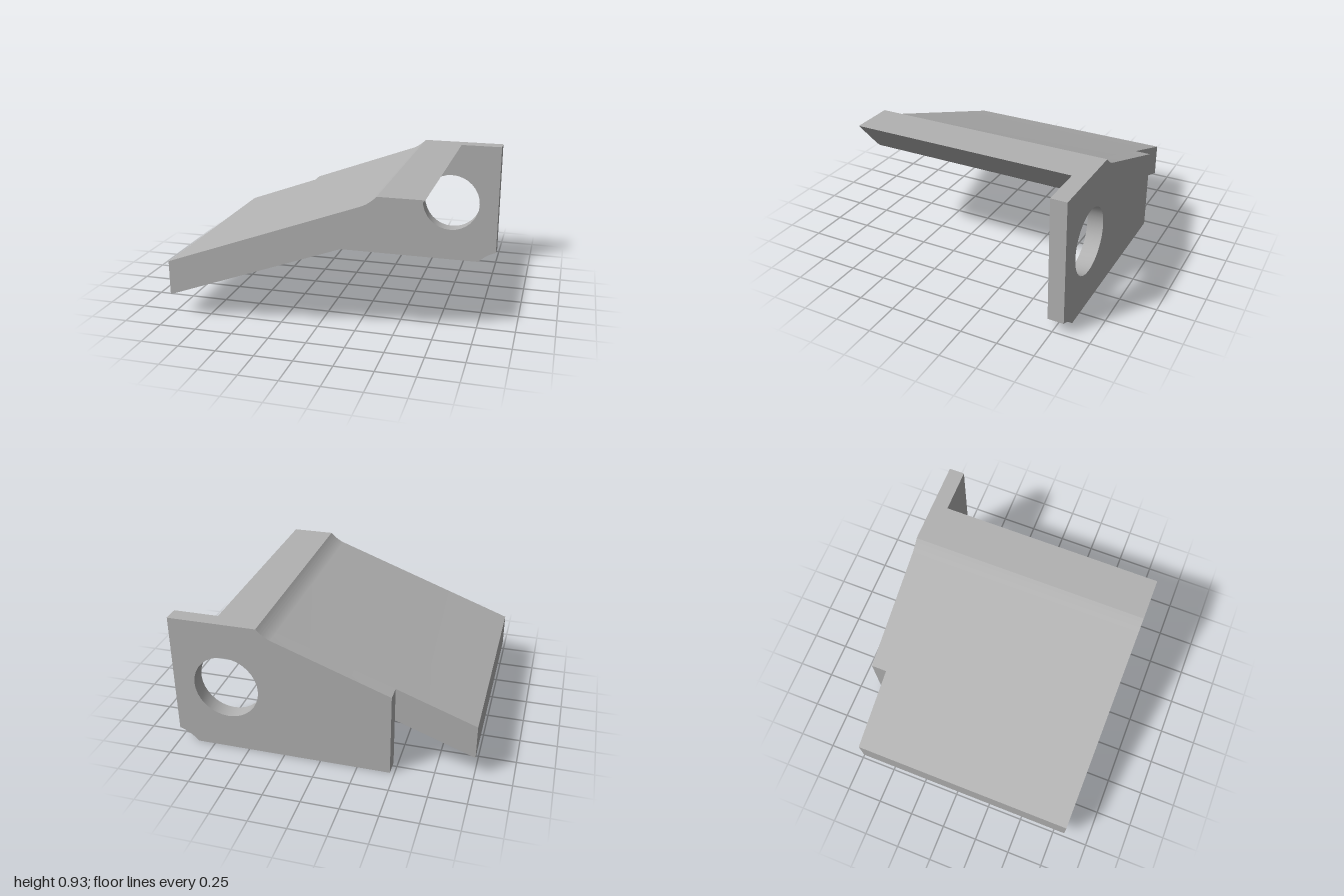
import * as THREE from 'three';
import { toCreasedNormals } from 'three/addons/utils/BufferGeometryUtils.js';

const grey = new THREE.MeshStandardMaterial({ color: 0xb2b2b2 });
grey.name = 'plain grey';

// Extrudes an x-y profile between two z positions, smoothing only the bends.
function extrudeBetween(name, shape, zBack, zFront) {
  const geometry = new THREE.ExtrudeGeometry(shape, {
    depth: zFront - zBack, bevelEnabled: false, curveSegments: 16,
  });
  geometry.translate(0, 0, zBack);
  const mesh = new THREE.Mesh(toCreasedNormals(geometry, 0.35), grey);
  mesh.name = name;
  return mesh;
}

export function createModel() {
  const group = new THREE.Group();
  group.name = 'rampBracket';
  const back = -0.826, joint = -0.718, front = 0.826;

  // Sloping slab with a steeper lip at its upper end
  const ramp = new THREE.Shape();
  ramp.moveTo(-1, 0.146);
  ramp.lineTo(0.44, 0.674);
  ramp.quadraticCurveTo(0.485, 0.691, 0.52, 0.73);
  ramp.lineTo(0.697, 0.93);
  ramp.lineTo(0.403, 0.93);
  ramp.quadraticCurveTo(0.355, 0.88, 0.302, 0.86);
  ramp.lineTo(-1, 0.381);
  ramp.closePath();
  group.add(extrudeBetween('ramp', ramp, joint, front));

  // Upright side plate following the ramp's top, with a notched corner
  const plate = new THREE.Shape();
  plate.moveTo(-0.47, 0);
  plate.lineTo(0.867, 0);
  plate.quadraticCurveTo(0.93, 0.068, 1, 0.087);
  plate.lineTo(1, 0.93);
  plate.lineTo(0.403, 0.93);
  plate.quadraticCurveTo(0.355, 0.88, 0.302, 0.86);
  plate.lineTo(-0.47, 0.576);
  plate.closePath();

  // Round through hole
  const hole = new THREE.Path();
  hole.absarc(0.634, 0.468, 0.222, 0, Math.PI * 2, true);
  plate.holes.push(hole);
  group.add(extrudeBetween('sidePlate', plate, back, joint));

  return group;
}
